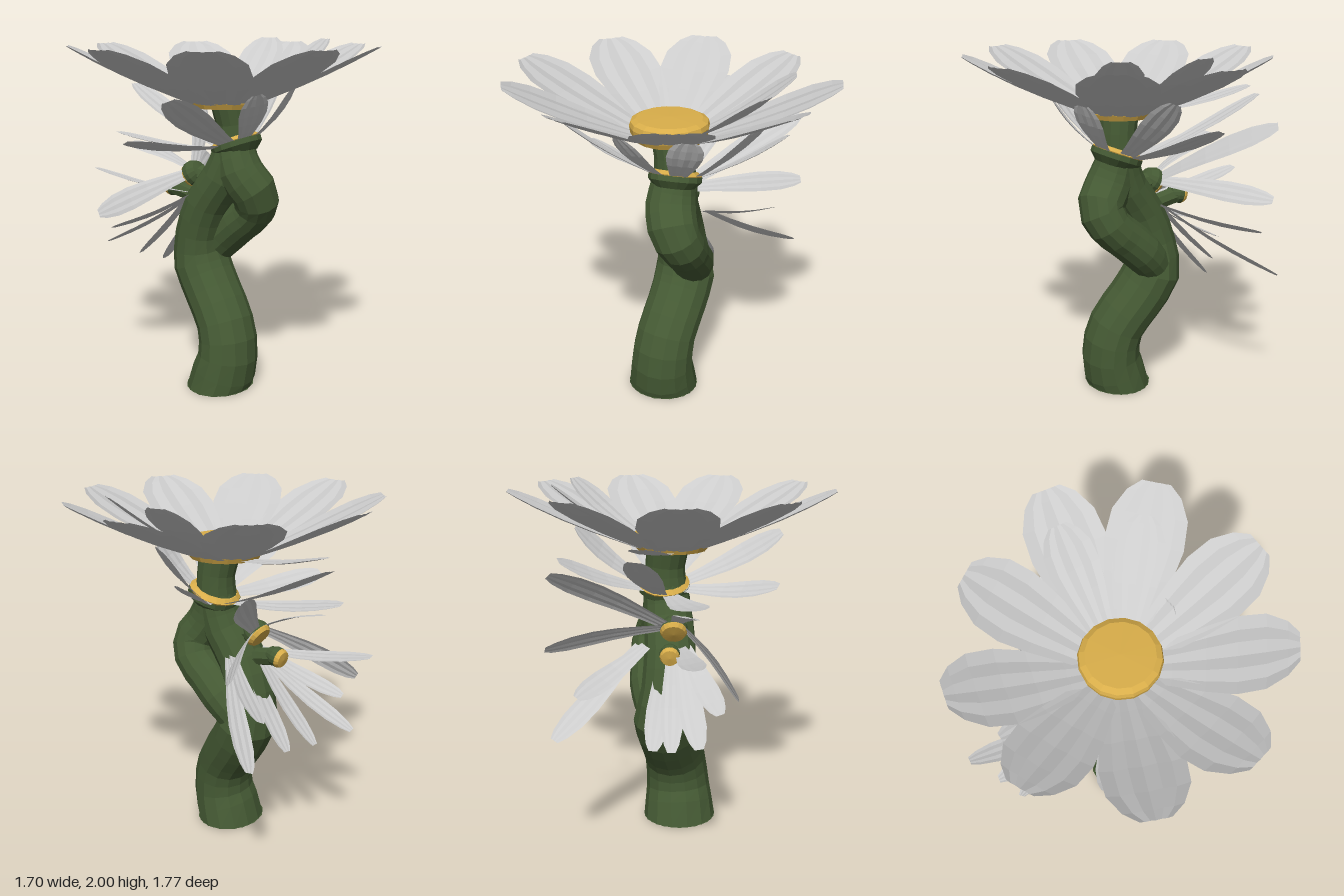
import * as THREE from 'three';

const V = (a) => new THREE.Vector3(...a);
const mat = (color) => new THREE.MeshStandardMaterial({ color, flatShading: true, side: THREE.DoubleSide });
const green = mat(0x455a34);
const yellow = mat(0xd9ae4a);
const grey = mat(0xcccccc);

function add(parent, name, geometry, material) {
  const mesh = new THREE.Mesh(geometry, material);
  mesh.name = name;
  parent.add(mesh);
  return mesh;
}

// Tapering stem: each point is [x, y, z, radius]; zScale widens it in depth
function stem(points, zScale = 1, flatBase = false, sides = 14) {
  const curve = new THREE.CatmullRomCurve3(points.map((p) => V(p.slice(0, 3))), false, 'centripetal');
  const rows = (points.length - 1) * 2;
  const geo = new THREE.TubeGeometry(curve, rows, 1, sides);
  const pos = geo.attributes.position;
  const v = new THREE.Vector3();
  for (let i = 0; i <= rows; i++) {
    const c = curve.getPointAt(i / rows);
    const k = curve.getUtoTmapping(i / rows) * (points.length - 1);
    const a = Math.min(Math.floor(k), points.length - 2);
    const r = THREE.MathUtils.lerp(points[a][3], points[a + 1][3], k - a);
    for (let j = 0; j <= sides; j++) {
      const n = i * (sides + 1) + j;
      v.fromBufferAttribute(pos, n).sub(c).multiplyScalar(r);
      v.z *= zScale;
      v.add(c);
      if (flatBase && i === 0) v.y = 0;
      pos.setXYZ(n, v.x, v.y, v.z);
    }
  }
  return geo;
}

// Softly ridged petal from base to tip, opening towards 'up'
const ROWS = [[0, 0.45], [0.2, 0.62], [0.42, 0.85], [0.62, 1], [0.8, 0.95], [0.93, 0.68], [1, 0.36]];
const RIDGES = [0.07, 0, 0.03, -0.02, 0.03, 0, 0.07];
function petal(base, tip, halfWidth, up, sag = 0.02) {
  const along = tip.clone().sub(base);
  const side = along.clone().cross(up).normalize();
  const normal = side.clone().cross(along).normalize();
  const pos = [], index = [], n = RIDGES.length;
  ROWS.forEach(([t, w], i) => {
    for (let j = 0; j < n; j++) {
      const s = (j / (n - 1)) * 2 - 1;
      const p = base.clone().addScaledVector(along, t)
        .addScaledVector(side, s * w * halfWidth)
        .addScaledVector(normal, RIDGES[j] * w * halfWidth - sag * Math.sin(Math.PI * t));
      pos.push(p.x, p.y, p.z);
      if (i && j) {
        const d = i * n + j, c = d - 1, b = d - n, a = b - 1;
        index.push(a, b, d, a, d, c);
      }
    }
  });
  const geo = new THREE.BufferGeometry();
  geo.setAttribute('position', new THREE.Float32BufferAttribute(pos, 3));
  geo.setIndex(index);
  geo.computeVertexNormals();
  return geo;
}

// Turned part set at a point and pointing along an axis
function turned(parent, name, profile, center, axis, material) {
  const geo = new THREE.LatheGeometry(profile.map((p) => new THREE.Vector2(...p)), 16);
  const mesh = add(parent, name, geo, material);
  mesh.position.copy(center);
  mesh.quaternion.setFromUnitVectors(new THREE.Vector3(0, 1, 0), axis);
}

// Tilted side flower: petals given by their tips [x, y, z, halfWidth]
function sideFlower(name, center, axis, radius, tips) {
  const group = new THREE.Group();
  group.name = name;
  const c = V(center), up = V(axis).normalize();
  turned(group, 'cup', [[0, -0.07], [radius * 0.8, -0.06], [radius * 1.1, -0.02], [radius * 1.1, 0.01]], c, up, green);
  turned(group, 'flowerCentre', [[radius, 0], [radius * 1.08, 0.015], [radius * 0.9, 0.035], [0, 0.04]], c, up, yellow);
  for (const [x, y, z, w] of tips) {
    const tip = V([x, y, z]);
    const out = tip.clone().sub(c).projectOnPlane(up).setLength(radius * 0.85);
    add(group, 'petal', petal(c.clone().add(out), tip, w, up), grey);
  }
  return group;
}

export function createModel() {
  const model = new THREE.Group();

  // Main stem, swelling where the branch leaves it
  add(model, 'mainStem', stem([
    [0.04, 0, 0.045, 0.192], [0.09, 0.2, 0.035, 0.168], [0.06, 0.37, 0.02, 0.16], [-0.06, 0.55, -0.015, 0.16],
    [-0.15, 0.7, -0.035, 0.163], [-0.16, 0.86, -0.02, 0.138], [-0.085, 1.08, -0.01, 0.13],
    [0.03, 1.25, -0.02, 0.125], [0.08, 1.42, -0.04, 0.11]], 1.12, true), green);
  const base = add(model, 'stemBase', new THREE.CircleGeometry(0.192, 14), green);
  base.rotation.x = Math.PI / 2;
  base.scale.y = 1.12;
  base.position.set(0.04, 0.002, 0.045);

  // Looping branch with a thicker upper joint that carries the large flower
  add(model, 'branch', stem([
    [-0.12, 0.77, -0.09, 0.11], [-0.04, 0.86, -0.11, 0.12], [0.07, 0.96, -0.11, 0.12], [0.17, 1.05, -0.11, 0.12],
    [0.2, 1.15, -0.07, 0.13], [0.125, 1.27, -0.03, 0.13], [0.08, 1.4, -0.035, 0.115],
    [0.08, 1.52, -0.04, 0.1], [0.06, 1.68, -0.02, 0.11]], 1.1), green);

  // Large flower: ring of nine petals [degrees, reach], a few extra petals and a round centre
  const head = new THREE.Group();
  head.name = 'largeFlower';
  model.add(head);
  const up = new THREE.Vector3(0, 1, 0);
  for (const [degrees, reach] of [[-97, 0.885], [-60, 0.87], [-18, 0.845], [21, 0.845], [61, 0.865],
    [97, 0.885], [138, 0.85], [177, 0.85], [221, 0.81]]) {
    const a = THREE.MathUtils.degToRad(degrees);
    const at = (r, y) => V([0.035 + r * Math.cos(a), y, r * Math.sin(a)]);
    add(head, 'petal', petal(at(0.12, 1.635), at(reach, 1.97), 0.205, up, 0.015), grey);
  }
  add(head, 'innerPetal', petal(V([0.01, 1.67, -0.15]), V([-0.08, 2, -0.64]), 0.135, up), grey);
  add(head, 'innerPetal', petal(V([0.13, 1.67, -0.13]), V([0.35, 2, -0.57]), 0.125, up), grey);
  add(head, 'outerPetal', petal(V([-0.06, 1.64, -0.02]), V([-0.72, 1.77, -0.15]), 0.09, up), grey);
  turned(head, 'flowerCentre', [[0, -0.07], [0.195, -0.07], [0.21, -0.04], [0.217, 0], [0.21, 0.025], [0.18, 0.04], [0, 0.045]],
    V([0.045, 1.71, 0]), up, yellow);

  // Tilted flower around the neck
  model.add(sideFlower('neckFlower', [0.085, 1.43, -0.045], [-0.35, 0.93, 0], 0.135, [
    [0.37, 1.73, 0.18, 0.085], [0.37, 1.75, -0.2, 0.095],
    [0.14, 1.72, 0.62, 0.1], [-0.2, 1.48, 0.57, 0.09], [0.02, 1.77, -0.53, 0.09],
    [-0.22, 1.62, -0.6, 0.09], [-0.64, 1.46, 0.14, 0.09], [-0.77, 1.72, -0.17, 0.09]]));

  // Flower on the side of the stem, facing right
  add(model, 'sideStalk', stem([[0, 1.16, 0, 0.09], [-0.08, 1.22, 0, 0.07], [-0.14, 1.24, 0, 0.055]], 1, false, 8), green);
  model.add(sideFlower('sideFlower', [-0.18, 1.235, 0.01], [-0.83, -0.55, 0], 0.07, [
    [-0.58, 1.62, -0.6, 0.07], [-0.57, 1.4, 0.1, 0.07],
    [-0.54, 1.23, -0.64, 0.06], [-0.63, 1, 0.34, 0.07], [-0.6, 0.69, 0, 0.06]]));

  // Smallest flower at the outer end
  add(model, 'smallStalk', stem([[-0.1, 1.05, -0.01, 0.07], [-0.2, 1.11, -0.01, 0.05], [-0.34, 1.14, -0.01, 0.05]], 1, false, 8), green);
  model.add(sideFlower('smallFlower', [-0.345, 1.14, -0.01], [-0.98, -0.2, 0], 0.05, []));

  // Petals sweeping out and down from the stem: [x, y, z] of each tip
  for (const [x, y, z] of [[-0.84, 1.22, 0.13], [-0.74, 0.77, 0.14], [-0.63, 0.77, -0.6], [-0.6, 0.99, -0.48],
    [-0.49, 0.65, -0.1], [-0.6, 0.9, 0.25]]) {
    const from = V([-0.14, 1.13, z * 0.3]);
    add(model, 'lowerPetal', petal(from, V([x, y, z]), 0.065, V([-0.7, 0.7, 0])), grey);
  }
  return model;
}
